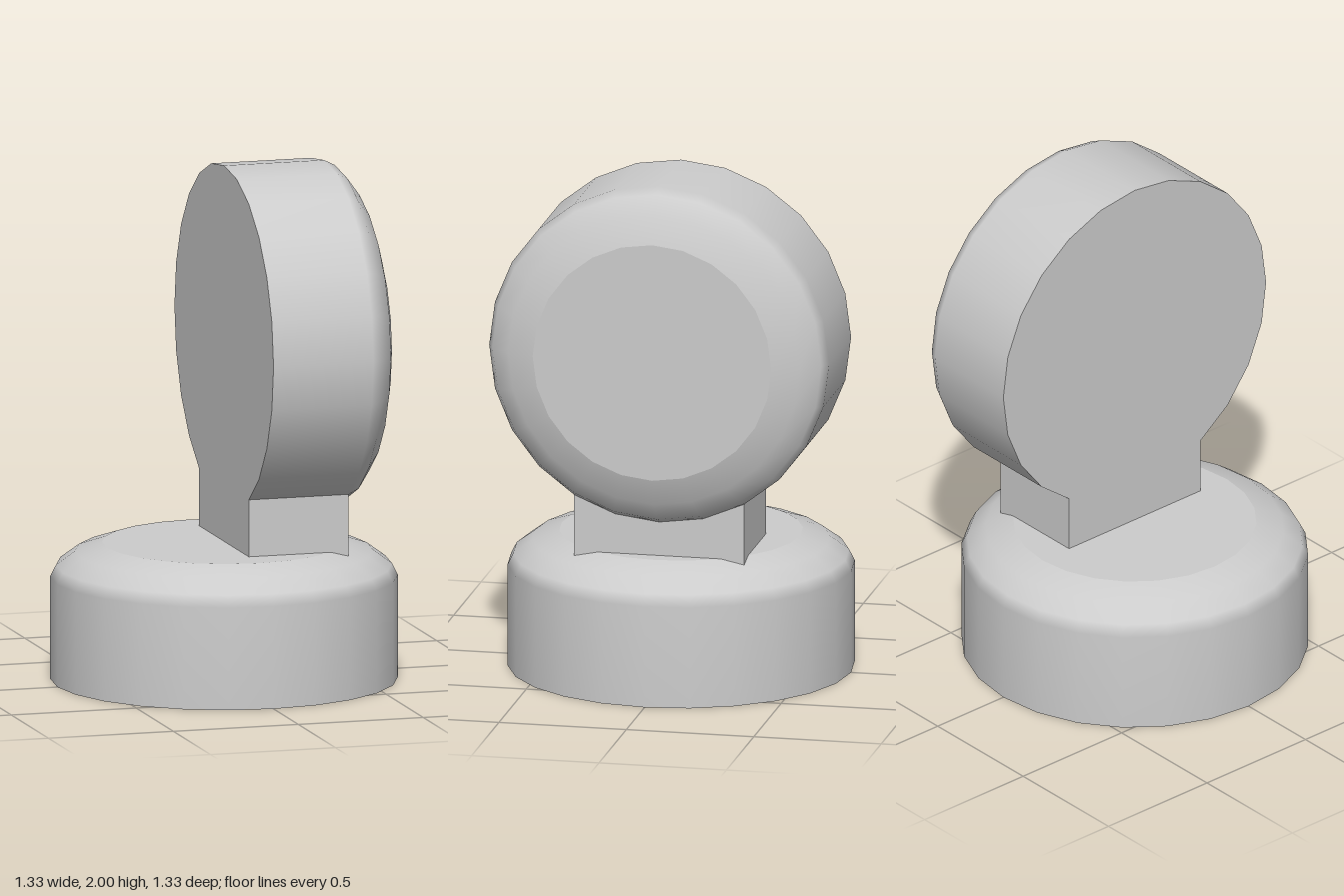
import * as THREE from 'three';

const SIDES = 24;
const RADIUS = 0.667;
const material = new THREE.MeshStandardMaterial({ color: 0xcccccc });

// Round drum standing on y = 0: smooth wall and rounded shoulder, flat ends
function createDrum(name) {
  const drum = new THREE.Group();
  drum.name = name;
  const profile = [[RADIUS, 0], [RADIUS, 0.4], [0.645, 0.444], [0.572, 0.498], [0.468, 0.533]]
    .map(([r, y]) => new THREE.Vector2(r, y));
  const wall = new THREE.Mesh(new THREE.LatheGeometry(profile, SIDES), material);
  wall.name = 'drumWall';
  drum.add(wall);

  for (const [capName, radius, y, turn] of [
    ['drumFlatEnd', RADIUS, 0, Math.PI / 2],
    ['drumRoundedEnd', 0.468, 0.533, -Math.PI / 2],
  ]) {
    const cap = new THREE.Mesh(new THREE.CircleGeometry(radius, SIDES), material);
    cap.name = capName;
    cap.rotation.x = turn;
    cap.position.y = y;
    drum.add(cap);
  }
  return drum;
}

export function createModel() {
  const model = new THREE.Group();
  model.name = 'drumOnStand';

  // Base drum lying flat
  model.add(createDrum('base'));

  // Upright drum, its rounded end facing +x
  const head = createDrum('head');
  head.rotation.z = -Math.PI / 2;
  head.position.y = 2 - RADIUS;
  model.add(head);

  // Block joining the two, sunk slightly into both
  const neck = new THREE.Mesh(new THREE.BoxGeometry(0.4, 0.306, 0.667), material);
  neck.name = 'neck';
  neck.position.set(0.2, 0.603, 0);
  model.add(neck);

  return model;
}
